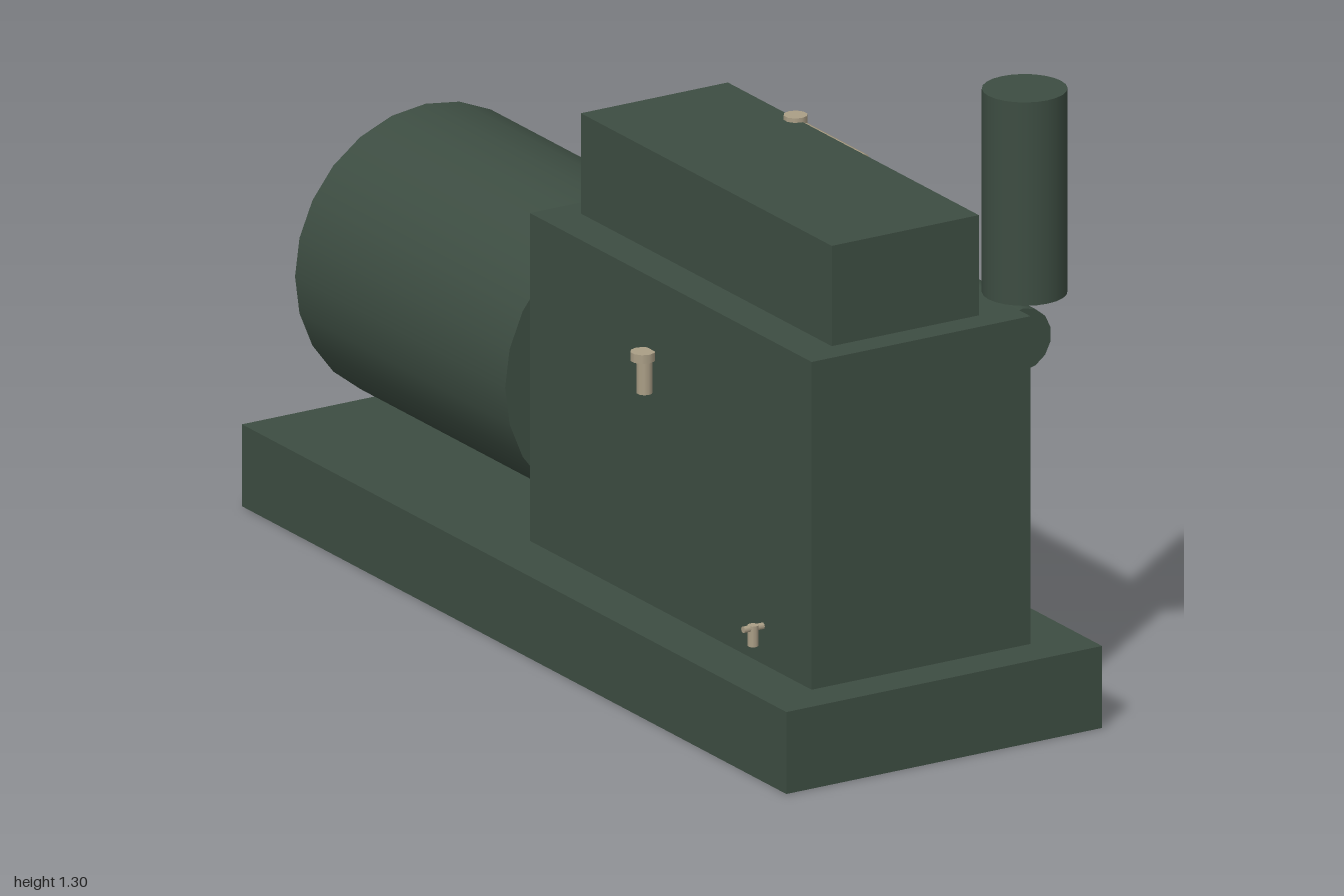
import * as THREE from 'three';

export function createModel() {
  const model = new THREE.Group();
  model.name = 'generatorSet';

  const green = new THREE.MeshStandardMaterial({ color: 0x3d4d42 });
  green.name = 'dark green paint';
  const metal = new THREE.MeshStandardMaterial({ color: 0xaa9e86 });
  metal.name = 'pale metal';

  function add(name, geometry, material, parent = model) {
    const mesh = new THREE.Mesh(geometry, material);
    mesh.name = name;
    parent.add(mesh);
    return mesh;
  }

  // Box given by its lower and upper corners
  function box(name, [x0, y0, z0], [x1, y1, z1]) {
    const mesh = add(name, new THREE.BoxGeometry(x1 - x0, y1 - y0, z1 - z0), green);
    mesh.position.set((x0 + x1) / 2, (y0 + y1) / 2, (z0 + z1) / 2);
  }

  // Closed cylinder running between two points
  function rod(name, from, to, radius, sides, material, parent) {
    const a = new THREE.Vector3(...from);
    const b = new THREE.Vector3(...to);
    const axis = b.clone().sub(a);
    const geometry = new THREE.CylinderGeometry(radius, radius, axis.length(), sides);
    const mesh = add(name, geometry, material, parent);
    mesh.position.copy(a).add(b).multiplyScalar(0.5);
    mesh.quaternion.setFromUnitVectors(new THREE.Vector3(0, 1, 0), axis.normalize());
    return mesh;
  }

  function group(name) {
    const g = new THREE.Group();
    g.name = name;
    model.add(g);
    return g;
  }

  // Skid and engine body
  box('skidBase', [-0.365, 0, -1], [0.365, 0.17, 1]);
  box('engineBlock', [-0.253, 0.17, -0.12], [0.253, 0.85, 0.915]);
  box('cylinderHead', [-0.17, 0.85, -0.065], [0.17, 1.058, 0.857]);

  // Generator drum and its coupling to the engine
  rod('generatorDrum', [0, 0.493, -0.905], [0, 0.493, -0.133], 0.302, 24, green);
  rod('coupling', [0, 0.493, -0.14], [0, 0.493, -0.11], 0.245, 24, green);

  // Exhaust pipe and upright silencer
  rod('exhaustManifold', [0.28, 0.775, -0.052], [0.28, 0.775, 0.845], 0.065, 14, green);
  rod('silencer', [0.281, 0.876, 0.849], [0.281, 1.298, 0.849], 0.084, 24, green);

  // Handle on the cylinder head
  const handle = group('headHandle');
  rod('handleRod', [0.177, 1.041, 0.185], [0.177, 1.041, 0.425], 0.013, 10, metal, handle);
  rod('handleStem', [0.177, 1.012, 0.187], [0.177, 1.053, 0.187], 0.013, 10, metal, handle);
  rod('handleCap', [0.168, 1.05, 0.187], [0.168, 1.067, 0.187], 0.024, 10, metal, handle);

  // Slanted control lever
  rod('controlLever', [0.245, 0.535, 0.213], [0.336, 0.703, 0.213], 0.0135, 10, metal);

  // Filler neck with cap
  const filler = group('oilFiller');
  rod('fillerNeck', [-0.268, 0.613, 0.325], [-0.268, 0.685, 0.325], 0.016, 10, metal, filler);
  rod('fillerCap', [-0.272, 0.682, 0.325], [-0.272, 0.7, 0.325], 0.025, 10, metal, filler);

  // Drain tap with cross handle
  const tap = group('drainTap');
  rod('tapStem', [-0.286, 0.219, 0.752], [-0.286, 0.262, 0.752], 0.011, 10, metal, tap);
  rod('tapBar', [-0.309, 0.256, 0.752], [-0.263, 0.256, 0.752], 0.007, 8, metal, tap);

  return model;
}
